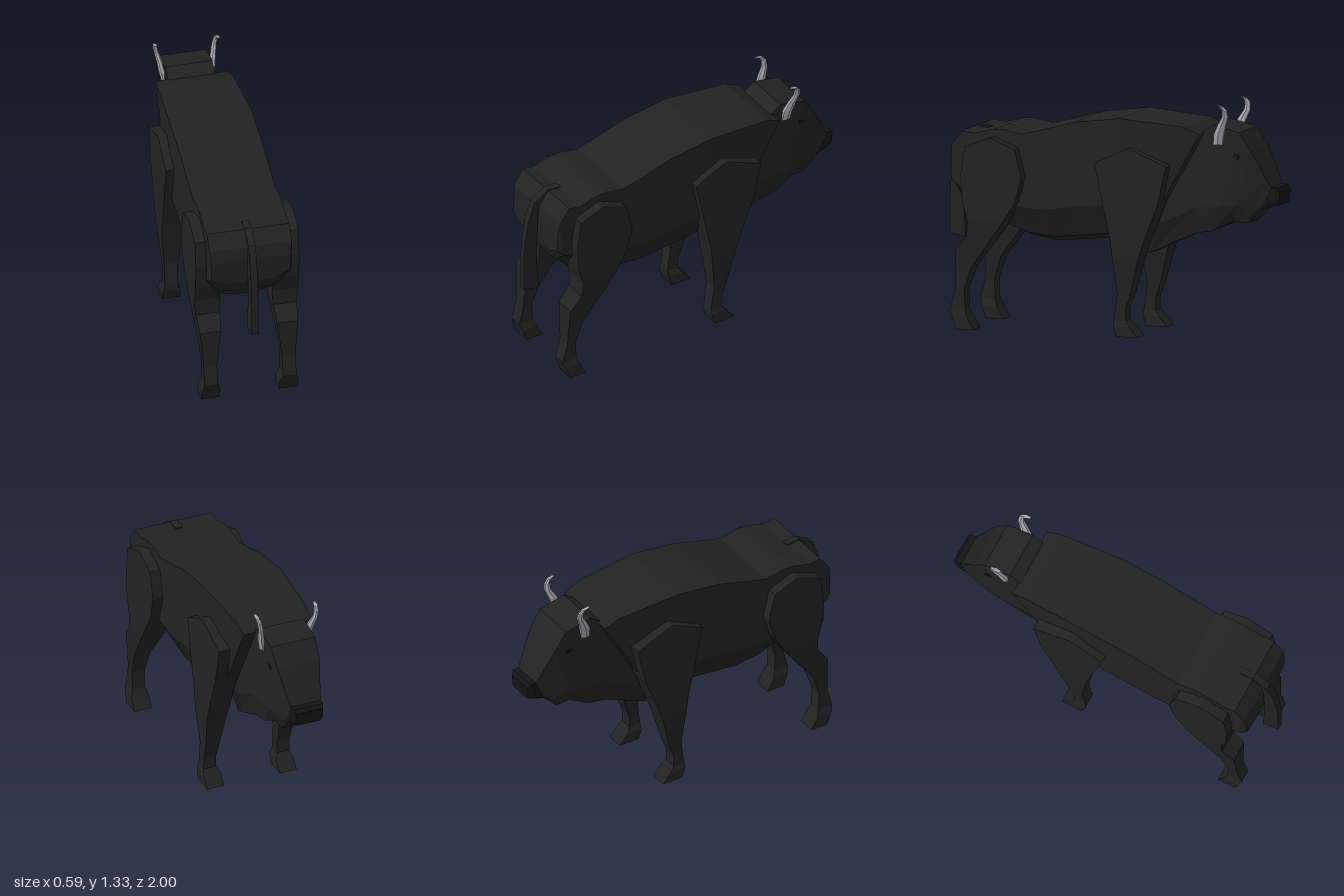
import * as THREE from 'three';

const hide = new THREE.MeshStandardMaterial({ name: 'black hide', color: 0x222222, flatShading: true });
const dark = new THREE.MeshStandardMaterial({ name: 'dark nose and eyes', color: 0x141414, flatShading: true });
const hornGrey = new THREE.MeshStandardMaterial({ name: 'horn grey', color: 0xa6a6ae, flatShading: true });

// Skins a list of equal rings of [x, y, z] points, caps both ends and turns the faces outwards.
function loft(rings) {
  const n = rings[0].length, pts = rings.flat(), tris = [];
  for (let r = 0; r < rings.length - 1; r++) {
    for (let i = 0; i < n; i++) {
      const a = r * n + i, b = r * n + (i + 1) % n;
      tris.push([a, b, b + n], [a, b + n, a + n]);
    }
  }
  const last = (rings.length - 1) * n;
  for (let i = 1; i < n - 1; i++) tris.push([0, i + 1, i], [last, last + i, last + i + 1]);
  const v = pts.map((p) => new THREE.Vector3(...p));
  let volume = 0;
  for (const [a, b, c] of tris) volume += v[a].dot(v[b].clone().cross(v[c]));
  if (volume < 0) tris.forEach((t) => t.reverse());
  const geo = new THREE.BufferGeometry();
  geo.setAttribute('position', new THREE.Float32BufferAttribute(tris.flat().flatMap((i) => pts[i]), 3));
  geo.computeVertexNormals();
  return geo;
}

// Symmetric slice between a bottom and a top point [z, y]; profile lists [height 0..1, half width].
function slice(top, bottom, profile) {
  const side = (s) => profile.map(([t, w]) => [
    s * w, bottom[1] + (top[1] - bottom[1]) * t, bottom[0] + (top[0] - bottom[0]) * t]);
  return [...side(1), ...side(-1).reverse()];
}

// Leg ring: [y, back z, front z, inner x, outer x]
const legRing = (s) => ([y, zb, zf, xi, xo]) => [
  [s * xi, y, zb], [s * xo, y, zb], [s * xo, y, zf], [s * xi, y, zf]];

export function createModel() {
  const group = new THREE.Group();
  const add = (name, geo, mat) => {
    const mesh = new THREE.Mesh(geo, mat);
    mesh.name = name;
    group.add(mesh);
    return mesh;
  };

  // Trunk from rump to shoulder: [top z, top y, bottom z, bottom y, half width]
  const trunk = [
    [0.91, 0.95, 0.91, 0.80, 0.225], [0.90, 1.03, 0.87, 0.72, 0.235], [0.84, 1.11, 0.78, 0.63, 0.235],
    [0.77, 1.10, 0.72, 0.60, 0.235], [0.65, 1.13, 0.62, 0.57, 0.235], [0.59, 1.13, 0.56, 0.55, 0.235],
    [0.48, 1.11, 0.48, 0.52, 0.235], [0.33, 1.15, 0.33, 0.50, 0.235], [0.17, 1.195, 0.17, 0.515, 0.235],
    [-0.10, 1.23, -0.06, 0.54, 0.235], [-0.48, 1.20, -0.18, 0.55, 0.215], [-0.57, 1.16, -0.25, 0.60, 0.205],
  ];
  add('trunk', loft(trunk.map(([tz, ty, bz, by, w]) => slice([tz, ty], [bz, by],
    [[0, w * 0.25], [0.05, w * 0.65], [0.3, w], [1, w]]))), hide);

  // Neck, brisket and head: [top z, top y, bottom z, bottom y, half width, bottom half width]
  const head = [
    [-0.42, 1.13, -0.14, 0.52, 0.135, 0.08], [-0.53, 1.15, -0.22, 0.46, 0.135, 0.08],
    [-0.62, 1.21, -0.50, 0.59, 0.135, 0.10], [-0.78, 1.175, -0.61, 0.61, 0.135, 0.10],
    [-0.85, 1.07, -0.73, 0.67, 0.13, 0.09], [-0.93, 0.91, -0.81, 0.66, 0.098, 0.08],
    [-0.95, 0.87, -0.89, 0.74, 0.092, 0.08],
  ];
  const headSlice = ([tz, ty, bz, by, w, wb]) => slice([tz, ty], [bz, by], [[0, wb], [0.25, w], [1, w]]);
  add('neckAndHead', loft(head.map(headSlice)), hide);
  add('muzzle', loft([head[6], [-0.985, 0.868, -0.965, 0.765, 0.09, 0.08],
    [-1.0, 0.845, -0.995, 0.77, 0.08, 0.07]].map(headSlice)), dark);

  // Tail: [outer z, outer y, inner z, inner y]
  const tail = [
    [0.76, 1.11, 0.76, 1.06], [0.84, 1.115, 0.82, 1.05], [0.93, 1.06, 0.87, 1.0], [0.97, 0.95, 0.90, 0.92],
    [0.99, 0.83, 0.915, 0.82], [1.0, 0.70, 0.915, 0.68], [1.0, 0.50, 0.905, 0.48],
  ];
  add('tail', loft(tail.map(([oz, oy, iz, iy]) => [
    [-0.02, oy, oz], [0.02, oy, oz], [0.02, iy, iz], [-0.02, iy, iz]])), hide);

  const foreleg = [
    [1.07, -0.16, -0.18, 0.15, 0.28], [0.98, 0.03, -0.40, 0.15, 0.28], [0.75, -0.02, -0.345, 0.15, 0.28],
    [0.55, -0.065, -0.265, 0.15, 0.28], [0.46, -0.075, -0.235, 0.16, 0.28], [0.25, -0.10, -0.18, 0.182, 0.262],
    [0.17, -0.09, -0.15, 0.185, 0.26], [0.10, -0.08, -0.15, 0.185, 0.262], [0.07, -0.08, -0.175, 0.17, 0.272],
    [0.01, -0.10, -0.225, 0.17, 0.272],
  ];
  const hindleg = [
    [1.085, 0.66, 0.64, 0.15, 0.295], [1.03, 0.80, 0.50, 0.15, 0.295], [0.87, 0.825, 0.46, 0.15, 0.295],
    [0.73, 0.815, 0.50, 0.15, 0.295], [0.62, 0.785, 0.57, 0.15, 0.295], [0.53, 0.79, 0.635, 0.152, 0.288],
    [0.45, 0.86, 0.695, 0.16, 0.28], [0.35, 0.865, 0.77, 0.172, 0.27], [0.22, 0.87, 0.815, 0.185, 0.262],
    [0.11, 0.90, 0.81, 0.185, 0.262], [0.07, 0.885, 0.795, 0.17, 0.275], [0, 0.86, 0.755, 0.17, 0.275],
  ];
  // Horn: [x, y, z, half width, half depth]
  const horn = [
    [0.13, 1.10, -0.655, 0.020, 0.030], [0.143, 1.16, -0.663, 0.019, 0.033], [0.153, 1.21, -0.683, 0.016, 0.028],
    [0.165, 1.26, -0.708, 0.014, 0.020], [0.173, 1.30, -0.708, 0.013, 0.016], [0.178, 1.322, -0.69, 0.012, 0.012],
    [0.180, 1.33, -0.66, 0.008, 0.003],
  ];

  for (const s of [1, -1]) {
    const label = s > 0 ? 'left' : 'right';
    add(label + 'Foreleg', loft(foreleg.map(legRing(s))), hide);
    add(label + 'Hindleg', loft(hindleg.map(legRing(s))), hide);
    add(label + 'Horn', loft(horn.map(([x, y, z, w, d]) => Array.from({ length: 6 }, (_, i) => {
      const a = i * Math.PI / 3;
      return [s * (x + w * Math.cos(a)), y, z + d * Math.sin(a)];
    }))), hornGrey);
    // Small eye plate on the cheek
    const eye = add(label + 'Eye', new THREE.BoxGeometry(0.006, 0.022, 0.035), dark);
    eye.position.set(s * 0.134, 1.04, -0.76);
    eye.rotation.x = -0.4;
  }
  return group;
}
